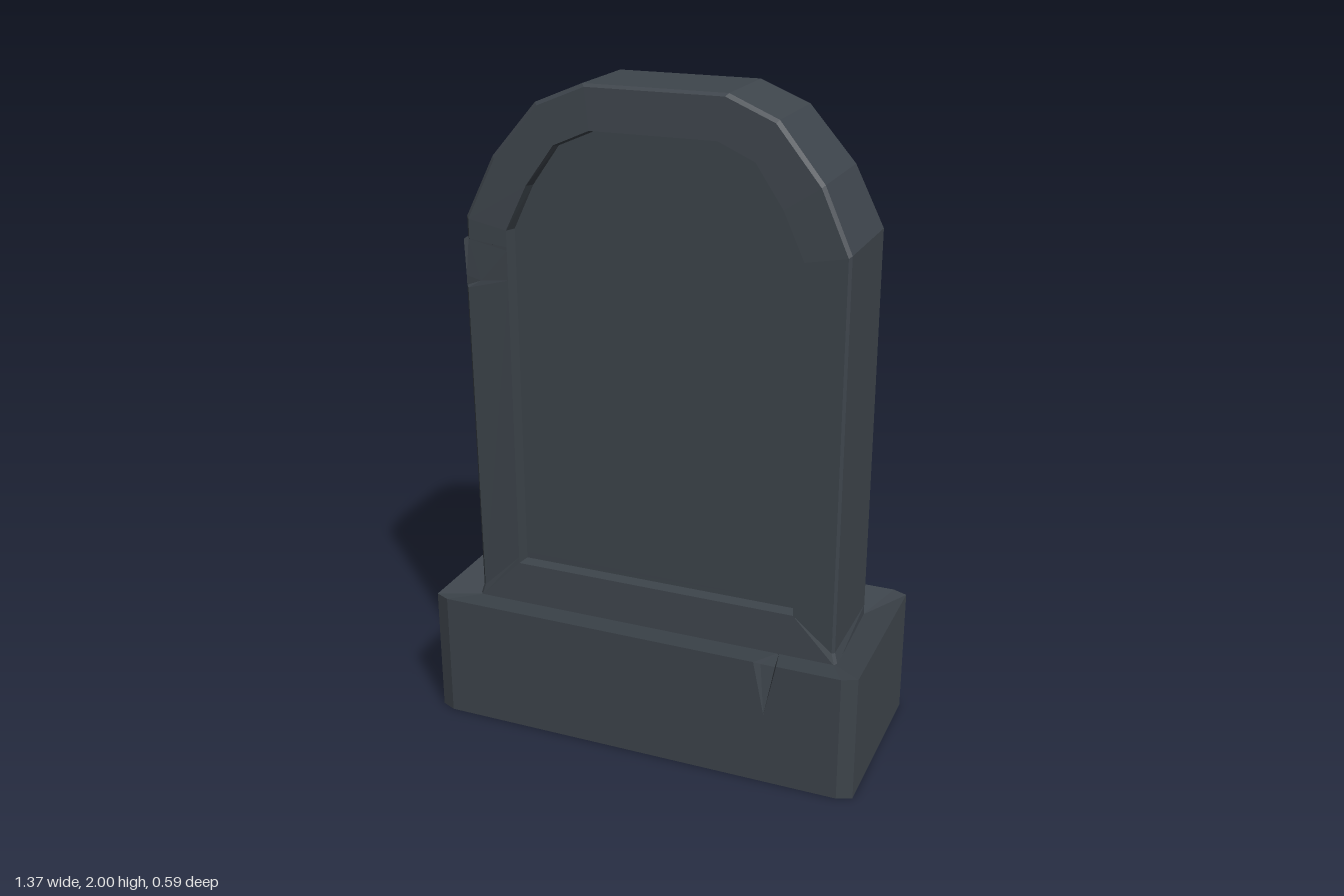
import * as THREE from 'three';

const material = new THREE.MeshStandardMaterial({ color: 0x3e454c, flatShading: true });
const sink = 0.035; // how far the plinth's top and underside dip towards the middle

// Builds one mesh from convex polygons, each listed counter-clockwise from outside.
function polygonMesh(name, polygons) {
  const pos = [];
  for (const p of polygons)
    for (let i = 1; i < p.length - 1; i++) pos.push(...p[0], ...p[i], ...p[i + 1]);
  const g = new THREE.BufferGeometry();
  g.setAttribute('position', new THREE.Float32BufferAttribute(pos, 3));
  g.computeVertexNormals();
  const mesh = new THREE.Mesh(g, material);
  mesh.name = name;
  return mesh;
}

// Plinth: block with clipped corners, dished top and underside, and a wedge crack in front.
function createPlinth() {
  const h = 0.4, zf = 0.295;
  const outline = [[-0.64, zf], [0.64, zf], [0.685, 0.275], [0.685, -0.275],
    [0.64, -zf], [-0.64, -zf], [-0.685, -0.275], [-0.685, 0.275]];
  const at = (y) => ([x, z]) => [x, y, z];
  const inner = outline.map(([x, z]) => [Math.sign(x) * 0.575, Math.sign(z) * 0.158]);
  const top = outline.map(at(h)), bottom = outline.map(at(0));
  const topIn = inner.map(at(h - sink)), bottomIn = inner.map(at(sink));

  const faces = [[bottomIn[0], bottomIn[5], bottomIn[4], bottomIn[1]]];
  for (let i = 0; i < 8; i++) {
    const j = (i + 1) % 8;
    faces.push([bottom[j], bottom[i], bottomIn[i], bottomIn[j]]);
    if (i === 0) continue; // the front is split round the crack
    faces.push([bottom[i], bottom[j], top[j], top[i]]);
    faces.push([top[i], top[j], topIn[j], topIn[i]]);
  }
  // crack corners
  const L = [0.375, h, zf], R = [0.445, h, zf], tip = [0.41, 0.23, zf];
  const apex = [0.41, h - sink, 0.158], footMid = [0.41, 0, zf];
  const il = [0.388, 0.38, 0.265], ir = [0.432, 0.38, 0.265];
  faces.push(
    [top[0], L, apex, topIn[0]],
    [R, top[1], topIn[1], apex],
    [tip, L, top[0], bottom[0], footMid],
    [tip, footMid, bottom[1], top[1], R],
    [apex, il, ir], [il, tip, ir],
    [apex, L, il], [L, tip, il], [apex, ir, R], [R, ir, tip],
  );
  return polygonMesh('plinth', faces);
}

// Headstone: matching loops joined from the back face round to the recessed front panel.
function createHeadstone() {
  const foot = 0.4 - sink;
  const outer = [[0.58, foot], [0.58, 0.4], [0.58, 1.39], [0.58, 1.42], [0.58, 1.53],
    [0.58, 1.54], [0.58, 1.6], [0.495, 1.78], [0.36, 1.94], [0.215, 2]];
  const inner = [[0.45, 0.5], [0.45, 0.52], [0.45, 1.39], [0.45, 1.42], [0.45, 1.51],
    [0.45, 1.52], [0.45, 1.57], [0.385, 1.705], [0.3, 1.825], [0.19, 1.873]];
  const n = outer.length;
  const halfDepth = (y) => 0.163 - 0.03 * Math.max(0, (y - 1.6) / 0.4);

  // Up the left-hand edge, then down the mirrored one.
  const loop = (half, inset, zAt) => {
    const y0 = half[0][1];
    const one = (sx) => half.map(([x, y]) =>
      [sx * (x - inset), y0 + (y - y0) * (1 - inset / 1.5), zAt(y)]);
    return [...one(-1), ...one(1).reverse()];
  };
  const back = loop(outer, 0, (y) => -halfDepth(y));
  const side = loop(outer, 0, (y) => halfDepth(y) - 0.008);
  const rim = loop(outer, 0.008, halfDepth);
  const recess = loop(inner, 0, halfDepth);
  const panel = loop(inner, 0.005, () => 0.118);

  // Foot corners spread slightly at the front.
  for (const ring of [side, rim])
    for (const i of [0, 2 * n - 1]) {
      ring[i][0] *= 1.02;
      ring[i][2] += 0.008;
    }
  // Worn front edge: a slight bulge that ends in a ledge, with a chip below it.
  for (let i = 1; i < 5; i++) {
    const bulge = 0.003 + 0.008 * (outer[i][1] - 0.4);
    side[i][0] -= bulge;
    rim[i][0] -= bulge;
  }
  side[4][0] -= 0.003;
  rim[3] = [-0.54, 1.41, 0.161];
  rim[4] = [-0.582, 1.53, 0.15];

  const loops = [back, side, rim, recess, panel];
  const faces = [];
  for (let k = 0; k < loops.length - 1; k++) {
    const a = loops[k], b = loops[k + 1];
    for (let i = 0; i < 2 * n; i++) {
      const j = (i + 1) % (2 * n);
      faces.push([a[i], b[i], b[j], a[j]]);
    }
  }
  // back face and recessed panel, in rows from left to right
  for (let i = 0; i < n - 1; i++) {
    const r = 2 * n - 1 - i;
    faces.push([panel[i], panel[r], panel[r - 1], panel[i + 1]]);
    faces.push([back[r], back[i], back[i + 1], back[r - 1]]);
  }
  return polygonMesh('headstone', faces);
}

export function createModel() {
  const group = new THREE.Group();
  group.name = 'gravestone';
  group.add(createPlinth(), createHeadstone());
  return group;
}
